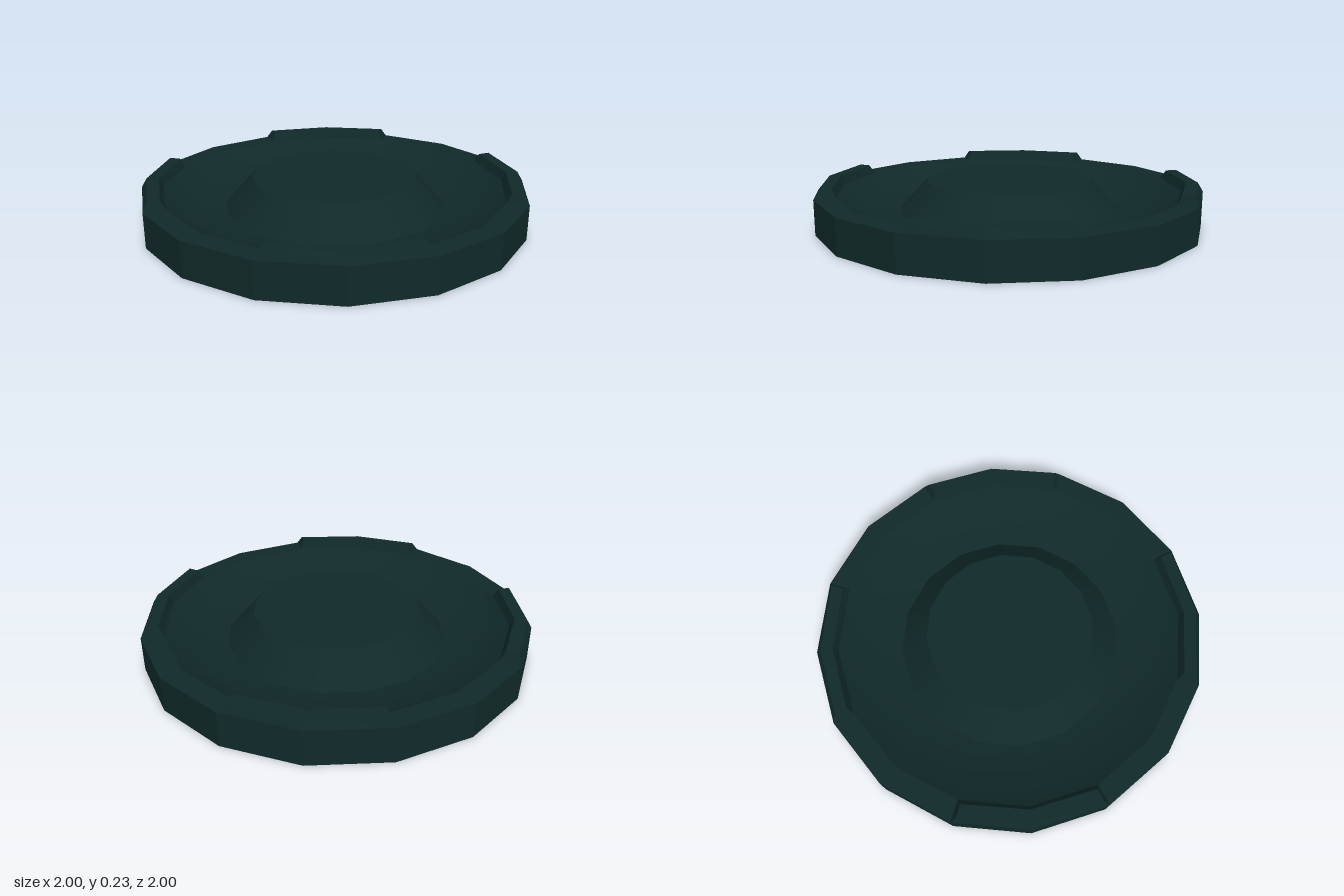
import * as THREE from 'three';

const SIDES = 16;

export function createModel() {
  const model = new THREE.Group();
  model.name = 'disc';
  const darkTeal = new THREE.MeshStandardMaterial({ color: 0x102929, side: THREE.DoubleSide });
  darkTeal.name = 'darkTeal';

  // Turned surface; profile runs from the outside towards the axis
  const turn = (profile, segments = SIDES, start = 0, length = Math.PI * 2) =>
    new THREE.LatheGeometry(profile.map(([r, y]) => new THREE.Vector2(r, y)), segments, start, length);

  const facet = (geometry) => {
    const flat = geometry.toNonIndexed();
    flat.computeVertexNormals();
    return flat;
  };

  const add = (name, geometry) => {
    const mesh = new THREE.Mesh(geometry, darkTeal);
    mesh.name = name;
    model.add(mesh);
    return mesh;
  };

  // Open-bottomed shell: faceted wall, sunken dish, raised centre
  add('outerWall', facet(turn([[1, 0], [1, 0.18]])));
  add('dish', turn([[0.89, 0.18], [0.75, 0.1], [0.575, 0.075]]));
  add('bossSide', turn([[0.575, 0.075], [0.43, 0.23]]));
  add('bossTop', turn([[0.43, 0.23], [0, 0.23]]));

  // Hollow raised tab, two rim sides long, with sloping ends
  const tab = turn([[1, 0.18], [0.972, 0.226], [0.91, 0.226], [0.89, 0.18]], 2, -Math.PI / 8, Math.PI / 4);
  const pos = tab.attributes.position;
  for (let i = 0; i < pos.count; i++) {
    if (pos.getY(i) < 0.2) continue;
    const r = Math.hypot(pos.getX(i), pos.getZ(i));
    const angle = Math.atan2(pos.getX(i), pos.getZ(i)) * 0.94;
    pos.setX(i, r * Math.sin(angle));
    pos.setZ(i, r * Math.cos(angle));
  }
  tab.setIndex([...tab.index.array, 0, 1, 3, 1, 2, 3, 8, 11, 9, 9, 11, 10]);
  const tabGeometry = facet(tab);

  // Flat rim between the tabs
  const rimGeometry = turn([[1, 0.18], [0.89, 0.18]], 2, Math.PI / 8, Math.PI / 4);

  for (let k = 0; k < 4; k++) {
    add('rimTab', tabGeometry).rotation.y = (k * Math.PI) / 2;
    add('rimTop', rimGeometry).rotation.y = (k * Math.PI) / 2;
  }
  return model;
}
